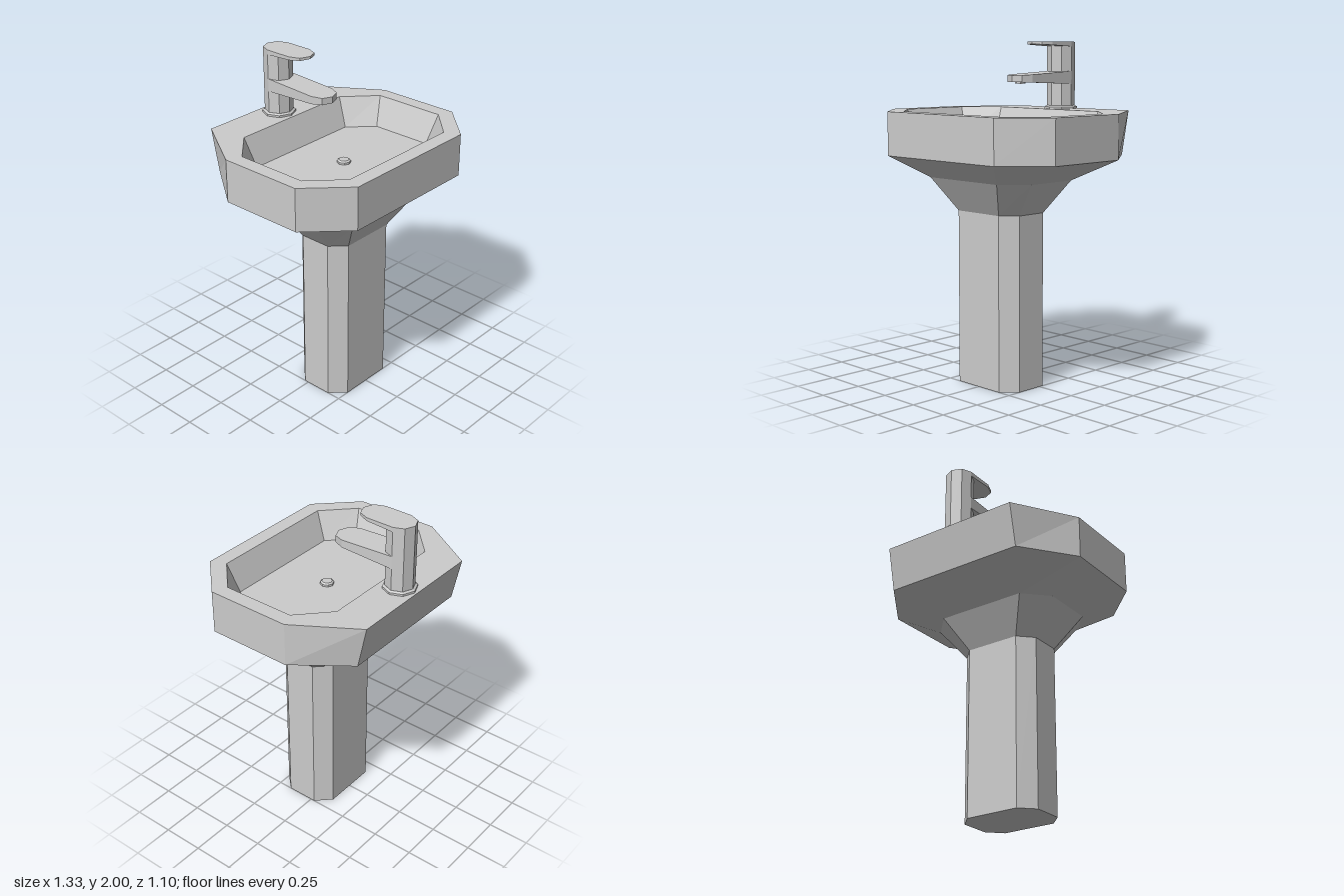
import * as THREE from 'three';

const material = new THREE.MeshStandardMaterial({ color: 0xcccccc, flatShading: true });

// Closed faceted solid through rings of [x, y, z] points, listed counterclockwise from above
function loft(name, rings) {
  const pos = [];
  const tri = (a, b, c) => pos.push(...a, ...b, ...c);
  const n = rings[0].length;
  for (let r = 0; r < rings.length - 1; r++) {
    const lower = rings[r], upper = rings[r + 1];
    for (let i = 0; i < n; i++) {
      const j = (i + 1) % n;
      tri(lower[i], lower[j], upper[j]);
      tri(lower[i], upper[j], upper[i]);
    }
  }
  const first = rings[0], last = rings[rings.length - 1];
  for (let i = 1; i < n - 1; i++) {
    tri(first[0], first[i + 1], first[i]);
    tri(last[0], last[i], last[i + 1]);
  }
  const geometry = new THREE.BufferGeometry();
  geometry.setAttribute('position', new THREE.Float32BufferAttribute(pos, 3));
  geometry.computeVertexNormals();
  const mesh = new THREE.Mesh(geometry, material);
  mesh.name = name;
  return mesh;
}

// Eight-sided ring: height, half width, half width of front and back edges, then z of
// front edge, front side corner, back side corner and back edge
function ring(y, w, c, zf, zsf, zsb, zb) {
  return [[c, y, zf], [w, y, zsf], [w, y, zsb], [c, y, zb],
    [-c, y, zb], [-w, y, zsb], [-w, y, zsf], [-c, y, zf]];
}

// Regular octagon with corners on the axes
function octagon(y, r, z) {
  return Array.from({ length: 8 }, (_, i) => {
    const a = i * Math.PI / 4;
    return [r * Math.sin(a), y, z + r * Math.cos(a)];
  });
}

const TAP_Z = -0.44;
const TAP_R = 0.084;

// Rounded tongue reaching forward from the tap body; heights run from root to tip
function tongue(name, tip, bottom, top) {
  const outline = [[0, tip], [0.06, tip - 0.024], [TAP_R, tip - 0.085], [TAP_R, TAP_Z],
    [-TAP_R, TAP_Z], [-TAP_R, tip - 0.085], [-0.06, tip - 0.024]];
  const layer = ([root, end]) => outline.map(([x, z]) =>
    [x, THREE.MathUtils.mapLinear(z, TAP_Z, tip, root, end), z]);
  return loft(name, [layer(bottom), layer(top)]);
}

export function createModel() {
  const model = new THREE.Group();
  model.name = 'pedestalSink';

  // Pedestal, flaring bowl, rim and recessed basin
  model.add(loft('pedestalAndBasin', [
    ring(0, 0.25, 0.167, 0.25, 0.165, -0.025, -0.11),
    ring(1.025, 0.25, 0.167, 0.25, 0.165, -0.025, -0.11),
    ring(1.22, 0.41, 0.275, 0.37, 0.235, -0.085, -0.225),
    ring(1.345, 0.667, 0.44, 0.55, 0.32, -0.19, -0.495),
    ring(1.6, 0.667, 0.44, 0.55, 0.32, -0.19, -0.55),
    ring(1.6, 0.58, 0.4, 0.46, 0.285, -0.155, -0.325),
    ring(1.43, 0.51, 0.375, 0.39, 0.255, -0.12, -0.255),
  ]));

  // Drain plug
  model.add(loft('drain', [
    octagon(1.425, 0.04, 0.065), octagon(1.442, 0.04, 0.065), octagon(1.45, 0.03, 0.065),
  ]));

  // Tap
  const tap = new THREE.Group();
  tap.name = 'tap';
  tap.add(
    loft('tapBase', [
      octagon(1.595, 0.098, TAP_Z), octagon(1.612, 0.098, TAP_Z), octagon(1.62, 0.085, TAP_Z),
    ]),
    loft('tapBody', [octagon(1.6, TAP_R, TAP_Z), octagon(2, TAP_R, TAP_Z)]),
    tongue('spout', -0.02, [1.75, 1.767], [1.826, 1.805]),
    tongue('handle', -0.187, [1.972, 1.985], [2, 2]),
    loft('aerator', [octagon(1.756, 0.03, -0.09), octagon(1.78, 0.03, -0.09)]),
  );
  model.add(tap);
  return model;
}
